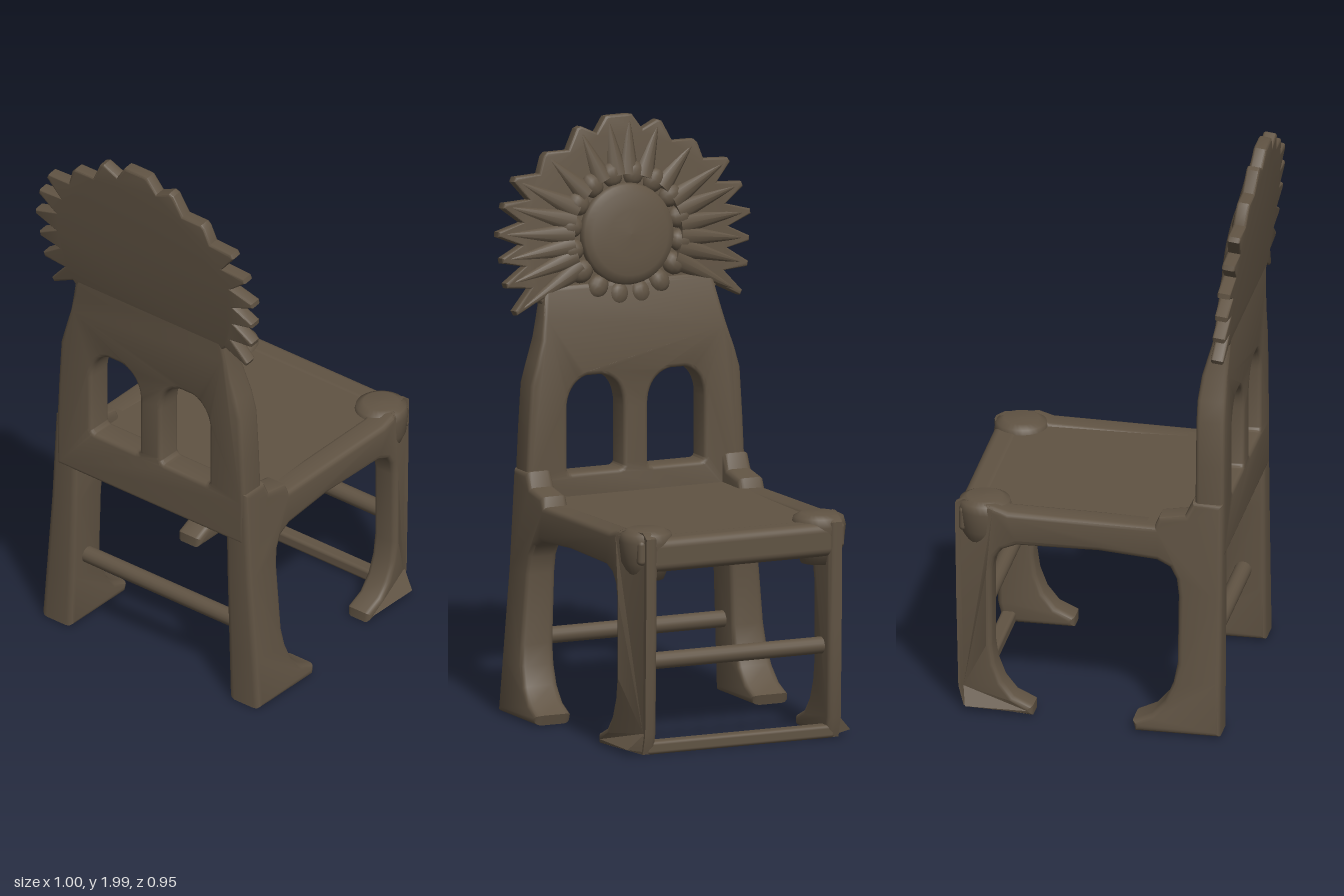
import * as THREE from 'three';
import { toCreasedNormals } from 'three/addons/utils/BufferGeometryUtils.js';
import { RoundedBoxGeometry } from 'three/addons/geometries/RoundedBoxGeometry.js';

const wood = new THREE.MeshStandardMaterial({ color: 0x605343 });
wood.name = 'dark wood';

function add(parent, name, geometry, x = 0, y = 0, z = 0) {
  const mesh = new THREE.Mesh(geometry, wood);
  mesh.name = name;
  mesh.position.set(x, y, z);
  parent.add(mesh);
  return mesh;
}

const toShape = (pts) => new THREE.Shape(pts.map(([x, y]) => new THREE.Vector2(x, y)));

// Bevelled slab of a flat outline, depth running from 0 to `depth`
function slab(shape, depth, bevel) {
  return new THREE.ExtrudeGeometry(shape, {
    depth: depth - 2 * bevel, bevelThickness: bevel, bevelSize: bevel,
    bevelOffset: -bevel, bevelSegments: 3, curveSegments: 10,
  }).translate(0, 0, bevel);
}

// Move each vertex by a rule, then rebuild the normals
function reshape(geometry, rule, crease = 0.7) {
  const p = geometry.attributes.position;
  const v = new THREE.Vector3();
  for (let i = 0; i < p.count; i++) {
    v.fromBufferAttribute(p, i);
    rule(v);
    p.setXYZ(i, v.x, v.y, v.z);
  }
  return toCreasedNormals(geometry, crease);
}

// Rear leg, seat rail and front leg in one outline (x, y)
const sideOutline = [
  [-0.425, 0.01], [-0.135, 0.01], [-0.125, 0.045], [-0.19, 0.075], [-0.235, 0.125],
  [-0.262, 0.19], [-0.275, 0.26], [-0.275, 0.5], [-0.267, 0.56], [-0.245, 0.6],
  [-0.2, 0.622], [0, 0.635], [0.28, 0.632], [0.33, 0.612], [0.355, 0.58],
  [0.365, 0.53], [0.365, 0.26], [0.355, 0.19], [0.33, 0.125], [0.29, 0.075],
  [0.225, 0.045], [0.225, 0.01], [0.47, 0.01], [0.488, 0.08], [0.495, 0.4],
  [0.5, 0.75], [0.47, 0.768], [0.36, 0.765], [0.31, 0.75], [-0.19, 0.742],
  [-0.205, 0.775], [-0.295, 0.79], [-0.32, 0.84], [-0.425, 0.84], [-0.425, 0.5], [-0.425, 0.2],
];

function sideFrame(side) {
  const depth = 0.095;
  return reshape(slab(toShape(sideOutline), depth, 0.018), (v) => {
    const t = side > 0 ? v.z / depth : 1 - v.z / depth; // 0 inside, 1 outside
    let z = 0.32 + t * depth;
    // rear legs splay outwards, most at the foot
    if (v.x < -0.1) z += (0.02 + 0.04 * t) * Math.max(0, 1 - v.y / 0.72);
    // front corner is rounded off
    if (v.x > 0.46) z = Math.min(z, 0.365);
    v.z = side * z;
  });
}

// Back panel with two arched openings, drawn as (z, y)
function backPanel() {
  const half = [[0.405, 0.64], [0.408, 0.8], [0.4, 0.97], [0.39, 1.13], [0.37, 1.2],
    [0.345, 1.28], [0.33, 1.35], [0.31, 1.45]];
  const shape = toShape([...half, ...half.map(([x, y]) => [-x, y]).reverse()]);
  for (const s of [-1, 1]) {
    const hole = new THREE.Path();
    hole.moveTo(s * 0.07, 0.82);
    hole.lineTo(s * 0.235, 0.82);
    hole.quadraticCurveTo(s * 0.256, 0.82, s * 0.256, 0.84);
    hole.lineTo(s * 0.256, 1.04);
    hole.bezierCurveTo(s * 0.256, 1.11, s * 0.21, 1.145, s * 0.18, 1.148);
    hole.lineTo(s * 0.13, 1.148);
    hole.bezierCurveTo(s * 0.08, 1.14, s * 0.045, 1.1, s * 0.045, 1.03);
    hole.lineTo(s * 0.045, 0.84);
    hole.quadraticCurveTo(s * 0.045, 0.82, s * 0.07, 0.82);
    shape.holes.push(hole);
  }
  const depth = 0.1;
  return reshape(slab(shape, depth, 0.015), (v) => {
    const front = -0.328 - Math.max(0, v.y - 1.24) * 0.28;
    const back = -0.427 - Math.max(0, v.y - 1.24) * 0.04;
    v.set(back + (front - back) * (v.z / depth), v.y, -v.x);
  });
}

// Tilted flower crest: jagged plate, petal ridges, ring of bumps and domed heart
function flower() {
  const tips = [[0.04, 0.4], [0.15, 0.37], [0.28, 0.29], [0.4, 0.215], [0.445, 0.13],
    [0.47, 0.035], [0.46, -0.055], [0.45, -0.14], [0.42, -0.235]];
  const half = [];
  tips.forEach(([x, y], i) => {
    const d = Math.hypot(x, y), nx = -y / d * 0.009, ny = x / d * 0.009;
    half.push([x - nx, y - ny], [x + nx, y + ny]);
    half.splice(half.length - 2, 2, half[half.length - 1], half[half.length - 2]);
    if (i < tips.length - 1) {
      const [bx, by] = tips[i + 1], f = i < 3 ? 0.9 : 0.83;
      half.push([(x + bx) / 2 * f, (y + by) / 2 * f]);
    }
  });
  half.push([0.33, -0.2], [0.29, -0.25]);
  const outline = [...half, ...half.map(([x, y]) => [-x, y]).reverse()];

  const tilt = new THREE.Group();
  tilt.name = 'flowerCrest';
  tilt.position.set(-0.457, 1.6, 0);
  tilt.rotation.z = 0.12;
  const face = new THREE.Group();
  face.name = 'flowerFace';
  face.rotation.y = Math.PI / 2;
  tilt.add(face);

  add(face, 'petalPlate', toCreasedNormals(slab(toShape(outline), 0.045, 0.008), 0.7));
  for (const s of [-1, 1]) {
    for (const [x, y] of tips) {
      const d = Math.hypot(x, y), inner = 0.2, length = d - inner - 0.005;
      const mid = (inner + length / 2) / d;
      const petal = add(face, 'petal', new THREE.ConeGeometry(0.04, length, 10), s * x * mid, y * mid, 0.042);
      petal.rotation.z = Math.atan2(y, s * x) - Math.PI / 2;
      petal.scale.z = 0.75;
    }
  }
  const bumps = 16;
  for (let i = 0; i < bumps; i++) {
    const a = (i + 0.5) / bumps * Math.PI * 2;
    const bump = add(face, 'innerPetal', new THREE.SphereGeometry(0.045, 12, 8),
      Math.cos(a) * 0.205, Math.sin(a) * 0.205, 0.042);
    bump.rotation.z = a;
    bump.scale.set(1, 0.85, 0.65);
  }
  const dome = [[0.17, 0], [0.172, 0.02], [0.165, 0.036], [0.14, 0.046], [0.08, 0.054], [0, 0.057]];
  const heart = add(face, 'flowerHeart',
    new THREE.LatheGeometry(dome.map(([r, y]) => new THREE.Vector2(r, y)), 40), 0, 0, 0.038);
  heart.rotation.x = Math.PI / 2;
  return tilt;
}

export function createModel() {
  const chair = new THREE.Group();
  chair.name = 'chair';

  const knob = [[0, 0.6], [0.06, 0.6], [0.085, 0.66], [0.092, 0.73], [0.085, 0.758], [0.06, 0.77], [0, 0.772]]
    .map(([r, y]) => new THREE.Vector2(r, y));
  for (const s of [1, -1]) {
    const label = s > 0 ? 'left' : 'right';
    add(chair, label + 'SideFrame', sideFrame(s));
    add(chair, label + 'FrontKnob', new THREE.LatheGeometry(knob, 28), 0.405, 0, s * 0.322);
  }

  // Seat and its cross rails
  add(chair, 'seat', new RoundedBoxGeometry(0.84, 0.085, 0.77, 3, 0.015), 0.065, 0.7, 0);
  add(chair, 'frontRail', new RoundedBoxGeometry(0.1, 0.115, 0.7, 4, 0.03), 0.445, 0.688, 0);

  // Stretchers between the legs
  const rod = new THREE.CylinderGeometry(0.029, 0.029, 0.7, 16).rotateX(Math.PI / 2);
  add(chair, 'frontStretcher', rod, 0.43, 0.32, 0);
  add(chair, 'rearStretcher', rod, -0.35, 0.27, 0);
  add(chair, 'floorStretcher', new RoundedBoxGeometry(0.05, 0.045, 0.7, 3, 0.012), 0.45, 0.03, 0);

  // Backrest
  add(chair, 'backPanel', backPanel());
  chair.add(flower());

  // Stand on the floor
  for (const part of chair.children) part.position.y -= 0.005;
  return chair;
}
